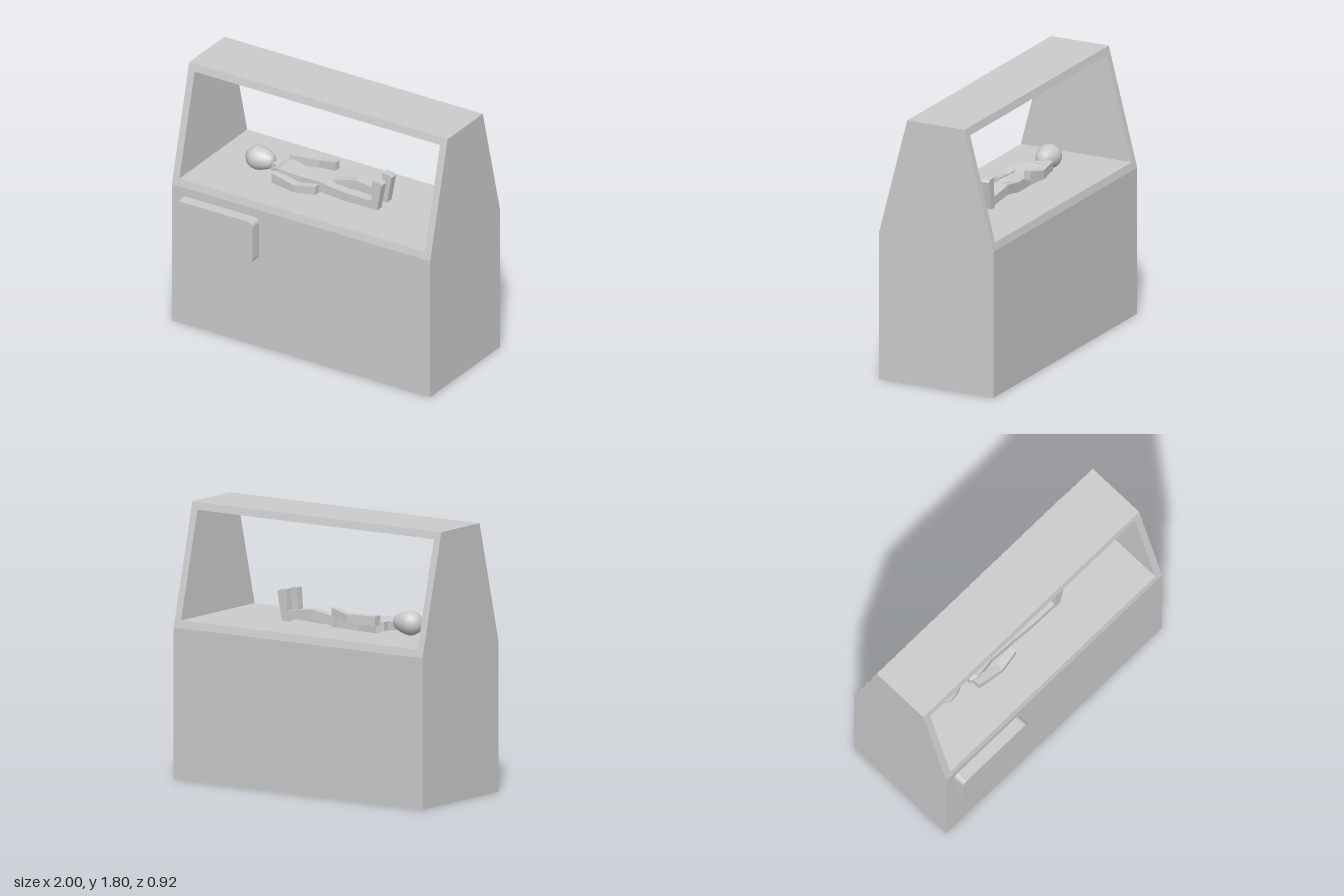
import * as THREE from 'three';

const smooth = new THREE.MeshStandardMaterial({ color: 0xcccccc });
const flat = new THREE.MeshStandardMaterial({ color: 0xcccccc, flatShading: true });
const CZ = -0.04; // centre plane of the cabinet

function add(parent, name, geometry, material = flat) {
  const mesh = new THREE.Mesh(geometry, material);
  mesh.name = name;
  parent.add(mesh);
  return mesh;
}

// Half depth of the cabinet at a height: straight body, sloping hood
const halfDepth = (y) => (y <= 1 ? 0.422 : 0.422 - ((y - 1) / 0.805) * 0.21);

// Slice of the cabinet between two heights and two x positions
function slab(x0, x1, ...heights) {
  const left = heights.map((y) => new THREE.Vector2(-CZ - halfDepth(y), y));
  const right = heights.map((y) => new THREE.Vector2(-CZ + halfDepth(y), y)).reverse();
  return new THREE.ExtrudeGeometry(new THREE.Shape([...left, ...right]), { depth: x1 - x0, bevelEnabled: false })
    .rotateY(Math.PI / 2).translate(x0, 0, 0);
}

// Four-sided limb along x through sections [x, y, z, halfHeight, halfWidth]
function limb(sections) {
  const pos = [], idx = [];
  for (const [x, y, z, h, w] of sections)
    for (const [a, b] of [[-1, -1], [-1, 1], [1, 1], [1, -1]]) pos.push(x, y + a * h, z + b * w);
  for (let s = 0; s < sections.length - 1; s++)
    for (let k = 0; k < 4; k++) {
      const a = s * 4 + k, b = s * 4 + ((k + 1) % 4);
      idx.push(a, a + 4, b, b, a + 4, b + 4);
    }
  const e = (sections.length - 1) * 4;
  idx.push(0, 1, 2, 0, 2, 3, e, e + 2, e + 1, e, e + 3, e + 2);
  const g = new THREE.BufferGeometry();
  g.setAttribute('position', new THREE.Float32BufferAttribute(pos, 3));
  g.setIndex(idx);
  g.computeVertexNormals();
  return g;
}

function makeCabinet() {
  const cabinet = new THREE.Group();
  cabinet.name = 'cabinet';
  add(cabinet, 'base', slab(-1, 1, 0, 1, 1.05));
  add(cabinet, 'rightPost', slab(-1, -0.95, 1.05, 1.755));
  add(cabinet, 'leftPost', slab(0.95, 1, 1.05, 1.755));
  add(cabinet, 'roof', slab(-1, 1, 1.755, 1.805));
  return cabinet;
}

// Rounded panel on the front face
function makePanel() {
  const w = 0.6, h = 0.3, r = 0.035, s = new THREE.Shape();
  s.moveTo(r, 0);
  s.lineTo(w - r, 0).absarc(w - r, r, r, -Math.PI / 2, 0);
  s.lineTo(w, h - r).absarc(w - r, h - r, r, 0, Math.PI / 2);
  s.lineTo(r, h).absarc(r, h - r, r, Math.PI / 2, Math.PI);
  s.lineTo(0, r).absarc(r, r, r, Math.PI, Math.PI * 1.5);
  return new THREE.ExtrudeGeometry(s, { depth: 0.08, bevelEnabled: false, curveSegments: 6 })
    .translate(-0.925, 0.64, 0.382);
}

function makeFigure() {
  const figure = new THREE.Group();
  figure.name = 'lyingFigure';

  // Egg-shaped head narrowing towards the neck
  const profile = [[0, -0.68], [0.035, -0.673], [0.062, -0.65], [0.078, -0.62], [0.082, -0.595],
    [0.077, -0.56], [0.064, -0.52], [0.046, -0.485], [0.03, -0.472], [0, -0.468]];
  const head = new THREE.LatheGeometry(profile.map(([r, x]) => new THREE.Vector2(r, x)), 24)
    .rotateZ(-Math.PI / 2).translate(0, 1.132, -0.03);
  add(figure, 'head', head, smooth);

  add(figure, 'neck', limb([[-0.5, 1.11, -0.03, 0.025, 0.025], [-0.4, 1.1, -0.03, 0.03, 0.03]]));
  add(figure, 'torso', limb([[-0.43, 1.1, -0.03, 0.03, 0.07], [-0.38, 1.1, -0.03, 0.045, 0.09],
    [-0.22, 1.085, -0.03, 0.035, 0.06], [-0.05, 1.09, -0.03, 0.035, 0.07], [0, 1.085, -0.03, 0.03, 0.06]]));

  // The rear arm rests a little higher than the front one
  add(figure, 'leftArm', limb([[-0.41, 1.09, 0.07, 0.035, 0.03], [-0.22, 1.075, 0.1, 0.026, 0.028],
    [-0.07, 1.09, 0.08, 0.03, 0.024]]));
  add(figure, 'rightArm', limb([[-0.4, 1.14, -0.13, 0.033, 0.03], [-0.2, 1.145, -0.17, 0.026, 0.028],
    [-0.06, 1.17, -0.15, 0.03, 0.024]]));

  // Legs, with the rear knee slightly raised
  add(figure, 'leftLeg', limb([[-0.04, 1.085, 0.005, 0.033, 0.034], [0.14, 1.08, 0.02, 0.03, 0.03],
    [0.35, 1.083, 0.03, 0.028, 0.024]]));
  add(figure, 'rightLeg', limb([[-0.04, 1.09, -0.065, 0.033, 0.034], [0.14, 1.125, -0.085, 0.034, 0.03],
    [0.35, 1.1, -0.09, 0.028, 0.024]]));

  // Upright feet
  const side = [[0.325, 1.055], [0.38, 1.055], [0.415, 1.245], [0.4, 1.26], [0.345, 1.265], [0.335, 1.11]];
  for (const [name, z, dy] of [['leftFoot', 0.002, 0], ['rightFoot', -0.118, 0.005]]) {
    const shape = new THREE.Shape(side.map(([x, y]) => new THREE.Vector2(x, y + dy)));
    add(figure, name, new THREE.ExtrudeGeometry(shape, { depth: 0.056, bevelEnabled: false }).translate(0, 0, z));
  }
  return figure;
}

export function createModel() {
  const model = new THREE.Group();
  model.name = 'displayCabinet';
  model.add(makeCabinet(), makeFigure());
  add(model, 'frontPanel', makePanel(), smooth);
  return model;
}
